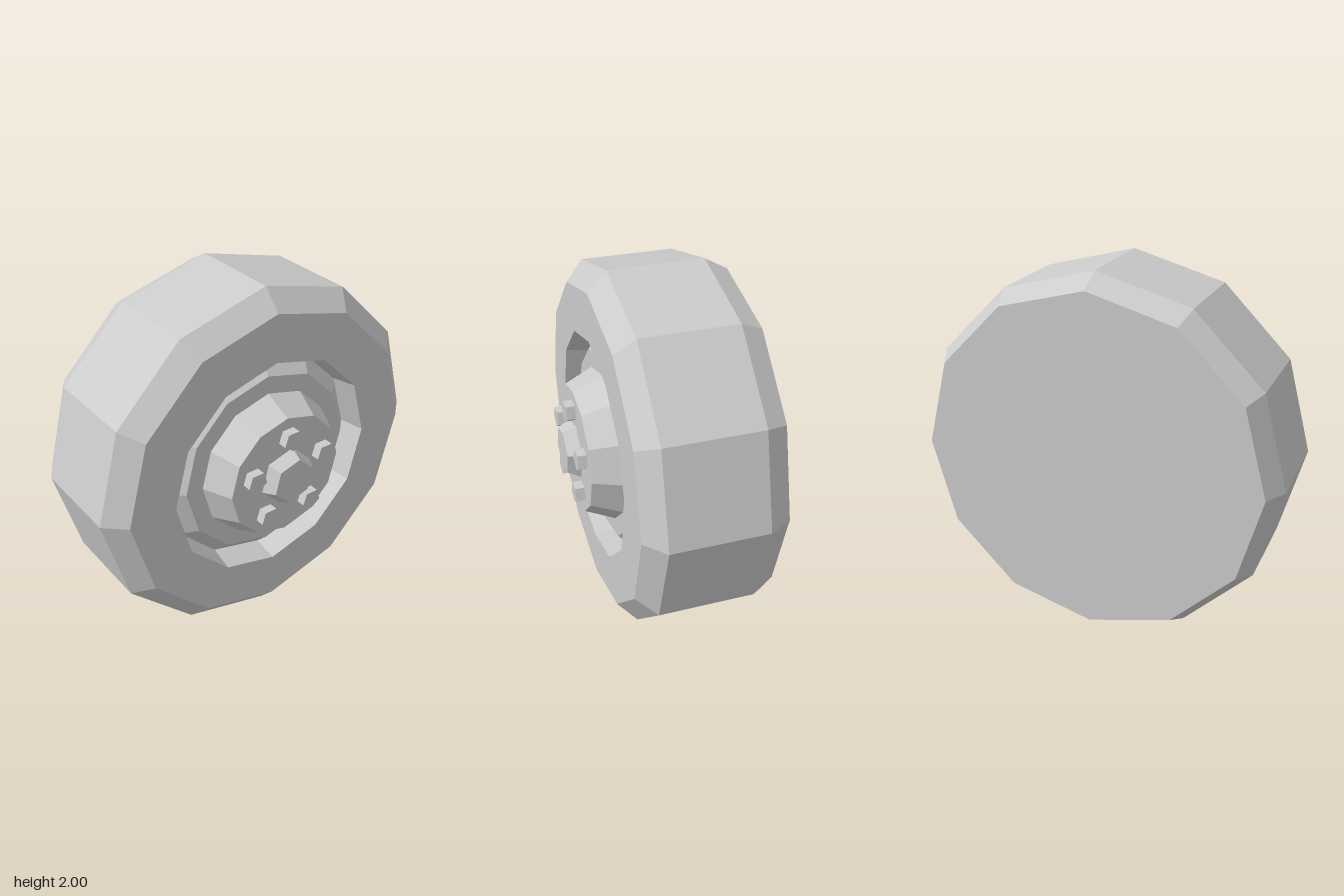
import * as THREE from 'three';

const material = new THREE.MeshStandardMaterial({ color: 0xcccccc, flatShading: true });

function part(name, geometry, parent) {
  const mesh = new THREE.Mesh(geometry, material);
  mesh.name = name;
  parent.add(mesh);
  return mesh;
}

// Twelve-sided body of revolution from [radius, height along the axle] pairs
function turned(profile) {
  return new THREE.LatheGeometry(profile.map(([r, h]) => new THREE.Vector2(r, h)), 12);
}

export function createModel() {
  const model = new THREE.Group();
  model.name = 'wheel';

  // Built along local y, then laid over so the axle points to +x
  const wheel = new THREE.Group();
  wheel.name = 'wheelAssembly';
  wheel.rotation.z = -Math.PI / 2;
  wheel.position.y = 1;
  model.add(wheel);

  // Tyre: closed flat back, chamfered shoulders, recessed well on the outer face
  part('tyre', turned([
    [0, -0.455], [0.93, -0.455], [1, -0.33], [1, 0.185],
    [0.89, 0.285], [0.625, 0.285], [0.598, 0.13],
  ]), wheel);

  // Stepped rim and raised hub
  part('rim', turned([
    [0.6, 0.14], [0.52, 0.22], [0.42, 0.22], [0.35, 0.38], [0, 0.38],
  ]), wheel);

  // Tapered hexagonal cap, slightly turned
  const cap = part('hubCap',
    new THREE.CylinderGeometry(0.127, 0.163, 0.07, 6, 1, false, THREE.MathUtils.degToRad(16)), wheel);
  cap.position.y = 0.415;

  // Five pentagonal lug nuts around the cap
  const nut = new THREE.CylinderGeometry(0.059, 0.059, 0.06, 5, 1, false, Math.PI / 2);
  for (let i = 0; i < 5; i++) {
    const a = (i / 5) * Math.PI * 2;
    part('lugNut' + (i + 1), nut, wheel)
      .position.set(-0.237 * Math.cos(a), 0.4, 0.237 * Math.sin(a) - 0.004);
  }

  return model;
}
